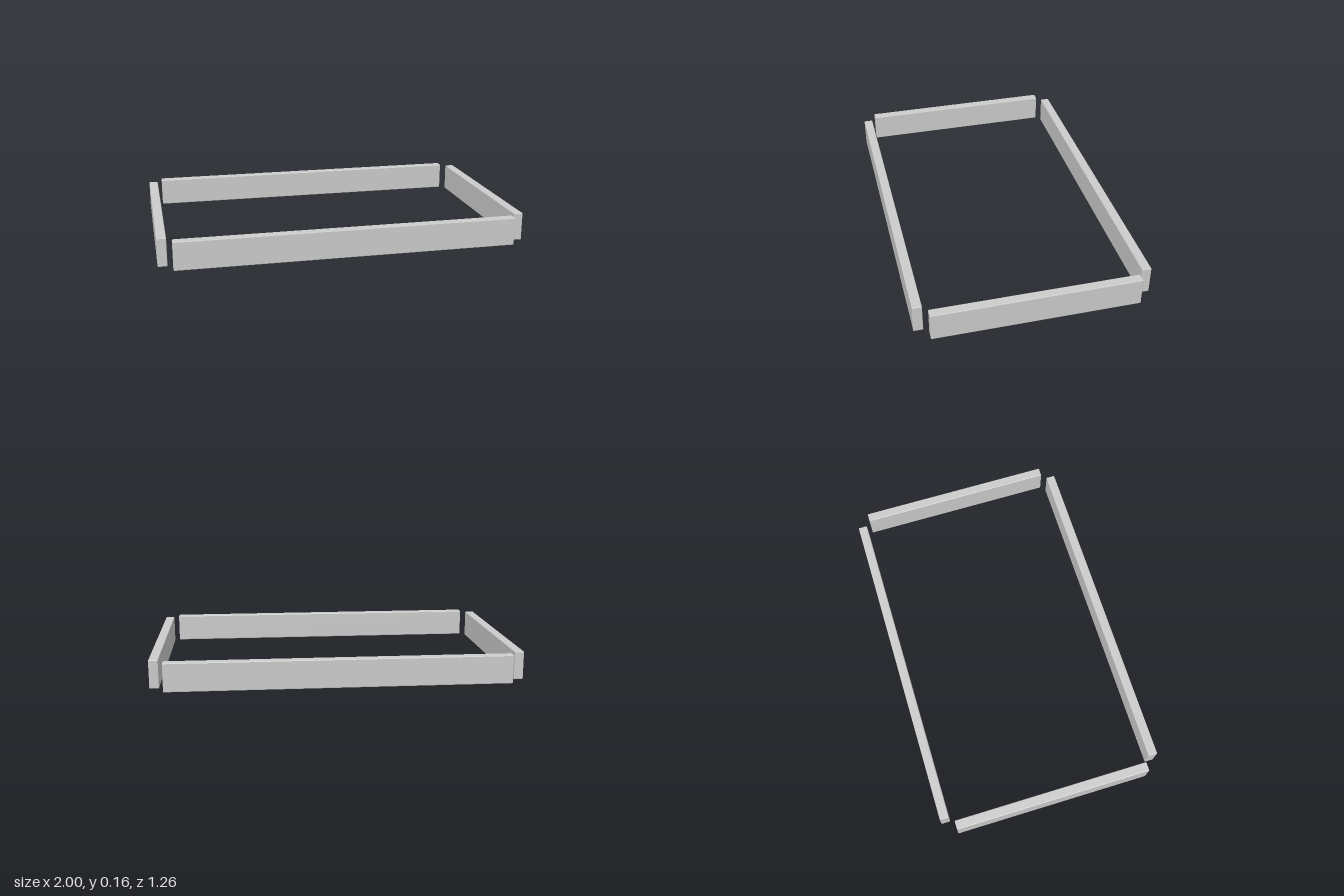
import * as THREE from 'three';
import { RoundedBoxGeometry } from 'three/addons/geometries/RoundedBoxGeometry.js';

const HEIGHT = 0.155;
const THICKNESS = 0.051;
const BEVEL = 0.004;

export function createModel() {
  const group = new THREE.Group();
  group.name = 'openFrame';
  const material = new THREE.MeshStandardMaterial({ color: 0xcccccc, flatShading: true });

  // One upright board with a fine chamfer on its edges
  const addBoard = (name, width, depth, x, z) => {
    const geometry = new RoundedBoxGeometry(width, HEIGHT, depth, 1, BEVEL);
    const board = new THREE.Mesh(geometry, material);
    board.name = name;
    board.position.set(x, HEIGHT / 2, z);
    group.add(board);
  };

  // Long boards at front and back, short boards at the sides, with open corners
  for (const side of [1, -1]) {
    addBoard(side > 0 ? 'frontBoard' : 'backBoard', 1.845, THICKNESS, 0, side * 0.6025);
    addBoard(side > 0 ? 'leftBoard' : 'rightBoard', THICKNESS, 1.106, side * (1 - THICKNESS / 2), 0);
  }
  return group;
}
